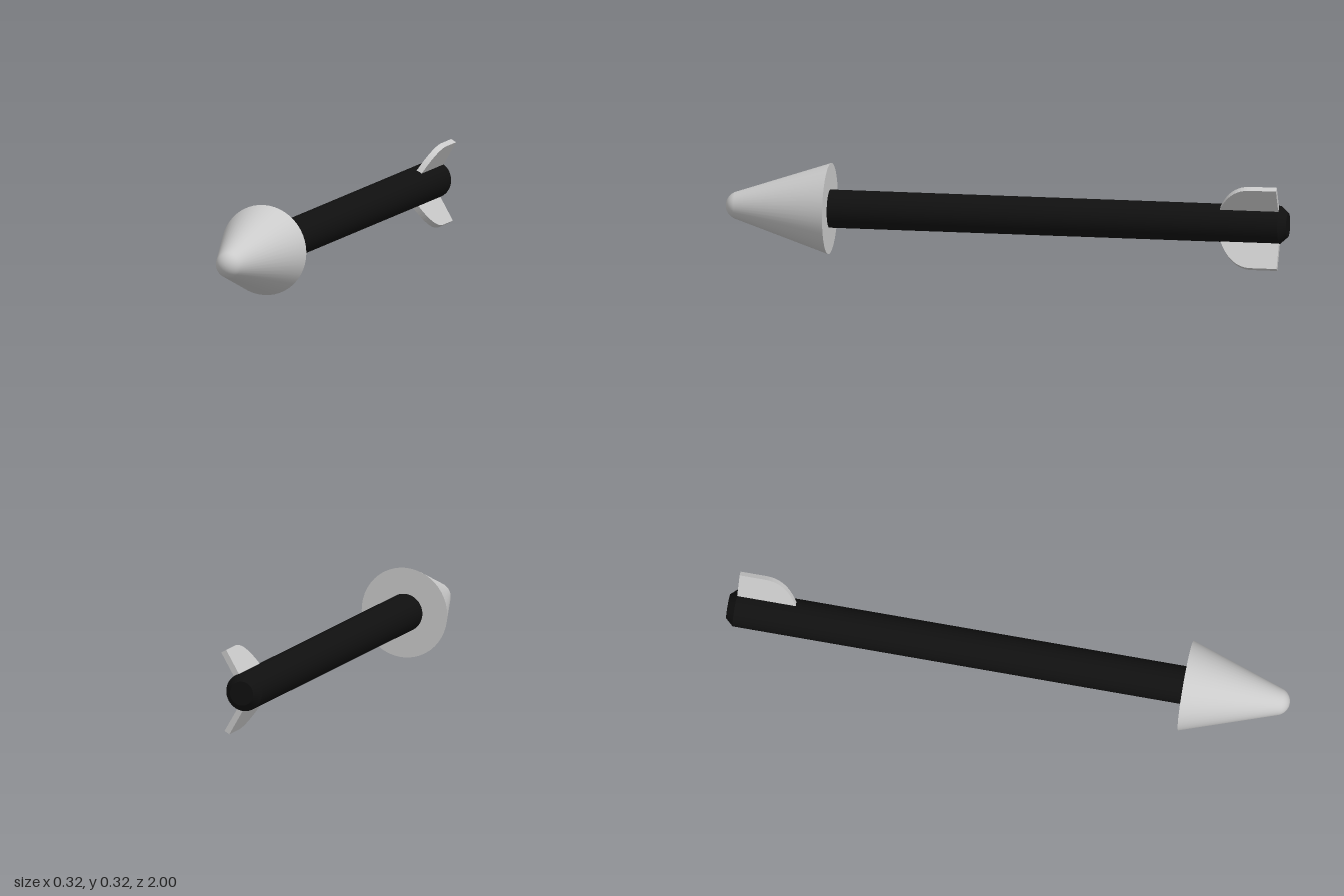
import * as THREE from 'three';

const AXIS_Y = 0.161;

export function createModel() {
  const silver = new THREE.MeshStandardMaterial({ color: 0xcacaca });
  silver.name = 'silver grey';
  const black = new THREE.MeshStandardMaterial({ color: 0x101010 });
  black.name = 'black';

  const model = new THREE.Group();
  model.name = 'arrow';

  // Surface of revolution about the arrow's long axis; profile is [radius, z], back to front
  const revolve = (name, profile, material, parent) => {
    const points = profile.map(([r, z]) => new THREE.Vector2(r, z));
    const geometry = new THREE.LatheGeometry(points, 48).rotateX(Math.PI / 2);
    const mesh = new THREE.Mesh(geometry, material);
    mesh.name = name;
    mesh.position.y = AXIS_Y;
    parent.add(mesh);
  };

  // Arrowhead: flat base, cone and rounded nose tangent to the cone
  const head = new THREE.Group();
  head.name = 'arrowhead';
  const nose = [[0.16, 0.63]];
  const start = THREE.MathUtils.degToRad(18.4);
  for (let i = 0; i <= 10; i++) {
    const a = start + (Math.PI / 2 - start) * i / 10;
    nose.push([Math.max(0, 0.05 * Math.cos(a)), 0.95 + 0.05 * Math.sin(a)]);
  }
  revolve('headCone', nose, silver, head);
  revolve('headBase', [[0, 0.63], [0.16, 0.63]], silver, head);
  model.add(head);

  // Shaft with a chamfered tail
  const shaft = new THREE.Group();
  shaft.name = 'shaft';
  revolve('shaftTube', [[0.067, -0.973], [0.067, 0.64]], black, shaft);
  revolve('tailChamfer', [[0.043, -1], [0.067, -0.973]], black, shaft);
  revolve('tailCap', [[0, -1], [0.043, -1]], black, shaft);
  model.add(shaft);

  // Tail fin outline: x runs along the arrow, y outwards from the shaft
  const outline = new THREE.Shape();
  outline.moveTo(-0.972, 0.045);
  outline.lineTo(-0.762, 0.045);
  outline.lineTo(-0.762, 0.062);
  outline.bezierCurveTo(-0.785, 0.115, -0.82, 0.161, -0.88, 0.161);
  outline.lineTo(-0.972, 0.161);
  outline.closePath();
  const thickness = 0.021;
  const finGeometry = new THREE.ExtrudeGeometry(outline, {
    depth: thickness, bevelEnabled: false, curveSegments: 14,
  }).translate(0, 0, -thickness / 2);

  // Two fins leaning towards the left side, above and below
  for (const [name, up, offset] of [['upperFin', 1, 0.004], ['lowerFin', -1, -0.018]]) {
    const along = new THREE.Vector3(0, 0, 1);
    const out = new THREE.Vector3(0.5, up * Math.sqrt(0.75), 0);
    const side = along.clone().cross(out);
    const fin = new THREE.Mesh(finGeometry, silver);
    fin.name = name;
    fin.quaternion.setFromRotationMatrix(new THREE.Matrix4().makeBasis(along, out, side));
    fin.position.copy(side).multiplyScalar(offset);
    fin.position.y += AXIS_Y;
    model.add(fin);
  }

  return model;
}
